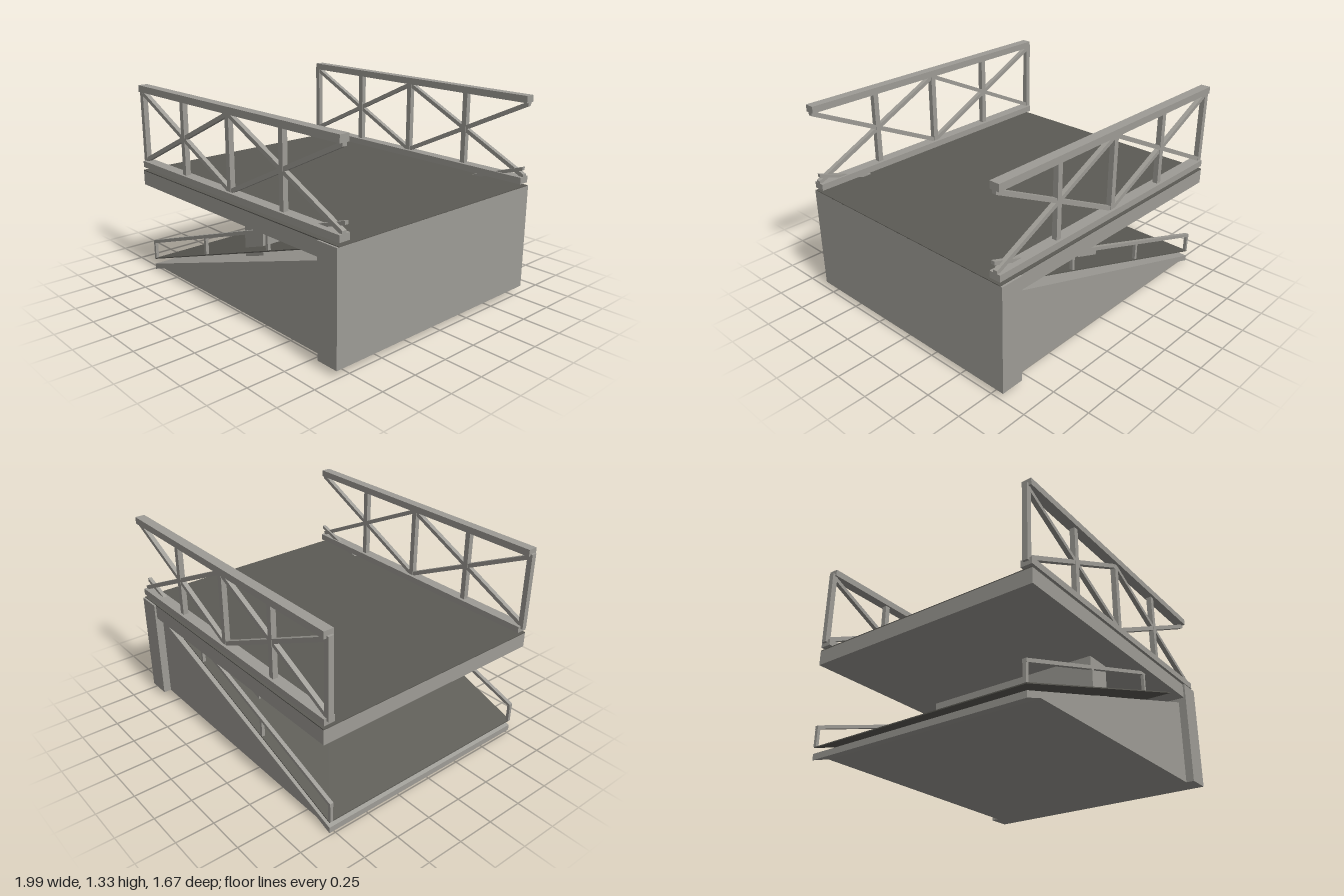
import * as THREE from 'three';

export function createModel() {
  const model = new THREE.Group();
  const concrete = new THREE.MeshStandardMaterial({ color: 0x9e9c96 });
  concrete.name = 'concrete grey';
  const asphalt = new THREE.MeshStandardMaterial({ color: 0x5c5b55 });
  asphalt.name = 'asphalt dark grey';

  const add = (parent, name, geometry, material) => {
    const mesh = new THREE.Mesh(geometry, material);
    mesh.name = name;
    parent.add(mesh);
    return mesh;
  };
  // Box given by its limits on each axis
  const box = (parent, name, [x0, x1], [y0, y1], [z0, z1], material = concrete) =>
    add(parent, name, new THREE.BoxGeometry(x1 - x0, y1 - y0, z1 - z0), material)
      .position.set((x0 + x1) / 2, (y0 + y1) / 2, (z0 + z1) / 2);
  // Side profile extruded across the width
  const prism = (parent, name, points, z0, z1, material = concrete) => {
    const shape = new THREE.Shape(points.map(([x, y]) => new THREE.Vector2(x, y)));
    const geometry = new THREE.ExtrudeGeometry(shape, { depth: z1 - z0, bevelEnabled: false });
    add(parent, name, geometry.translate(0, 0, z0), material);
  };
  // Sloping bar with upright ends; h is its vertical thickness
  const bar = (parent, name, [x0, y0], [x1, y1], h, z0, z1, material = concrete) =>
    prism(parent, name, [[x0, y0 - h / 2], [x1, y1 - h / 2], [x1, y1 + h / 2], [x0, y0 + h / 2]], z0, z1, material);

  // Lower ramp, its road sheet and the supports
  prism(model, 'rampBase', [[-0.985, 0], [-0.865, 0.04], [0.84, 0.04], [0.84, 0.617], [-0.985, 0.04]], -0.782, 0.782);
  bar(model, 'rampRoad', [-0.985, 0.08], [0.98, 0.735], 0.007, -0.782, 0.782, asphalt);
  box(model, 'abutment', [0.835, 0.99], [0.04, 0.742], [-0.835, 0.835]);
  box(model, 'centrePier', [-0.09, 0.095], [0.2, 0.65], [-0.63, 0.63]);

  // Upper deck
  box(model, 'deckSlab', [-0.985, 0.988], [0.642, 0.74], [-0.822, 0.822]);
  box(model, 'deckRoad', [-0.985, 0.99], [0.74, 0.746], [-0.822, 0.822], asphalt);

  for (const side of [-1, 1]) {
    const across = (a, b) => (side > 0 ? [a, b] : [-b, -a]);

    // Truss railing beside the deck
    const truss = new THREE.Group();
    truss.name = side > 0 ? 'frontTruss' : 'backTruss';
    model.add(truss);
    box(truss, 'topChord', [-0.985, 0.99], [1.285, 1.33], across(0.755, 0.82));
    box(truss, 'bottomChord', [-0.985, 0.99], [0.765, 0.808], across(0.745, 0.82));
    for (const x of [-0.983, -0.49, 0, 0.5]) {
      box(truss, 'post', [x - 0.018, x + 0.018], [0.79, 1.3], across(0.767, 0.802));
    }
    const [d0, d1] = across(0.77, 0.8);
    for (const x of [-0.985, 0.005]) {
      bar(truss, 'risingDiagonal', [x, 0.81], [x + 0.985, 1.28], 0.03, d0, d1);
      bar(truss, 'fallingDiagonal', [x, 1.28], [x + 0.985, 0.81], 0.03, d0, d1);
    }

    // Handrail following the ramp
    const handrail = new THREE.Group();
    handrail.name = side > 0 ? 'frontRampRail' : 'backRampRail';
    model.add(handrail);
    const [r0, r1] = across(0.757, 0.782);
    bar(handrail, 'rampHandrail', [-0.99, 0.205], [0.99, 0.865], 0.023, r0, r1);
    for (const x of [-0.98, -0.325, 0.33]) {
      const road = 0.08 + (x + 0.985) / 3;
      box(handrail, 'rampPost', [x - 0.01, x + 0.01], [road, road + 0.125], [r0 + 0.002, r1 - 0.002]);
    }
  }
  return model;
}
